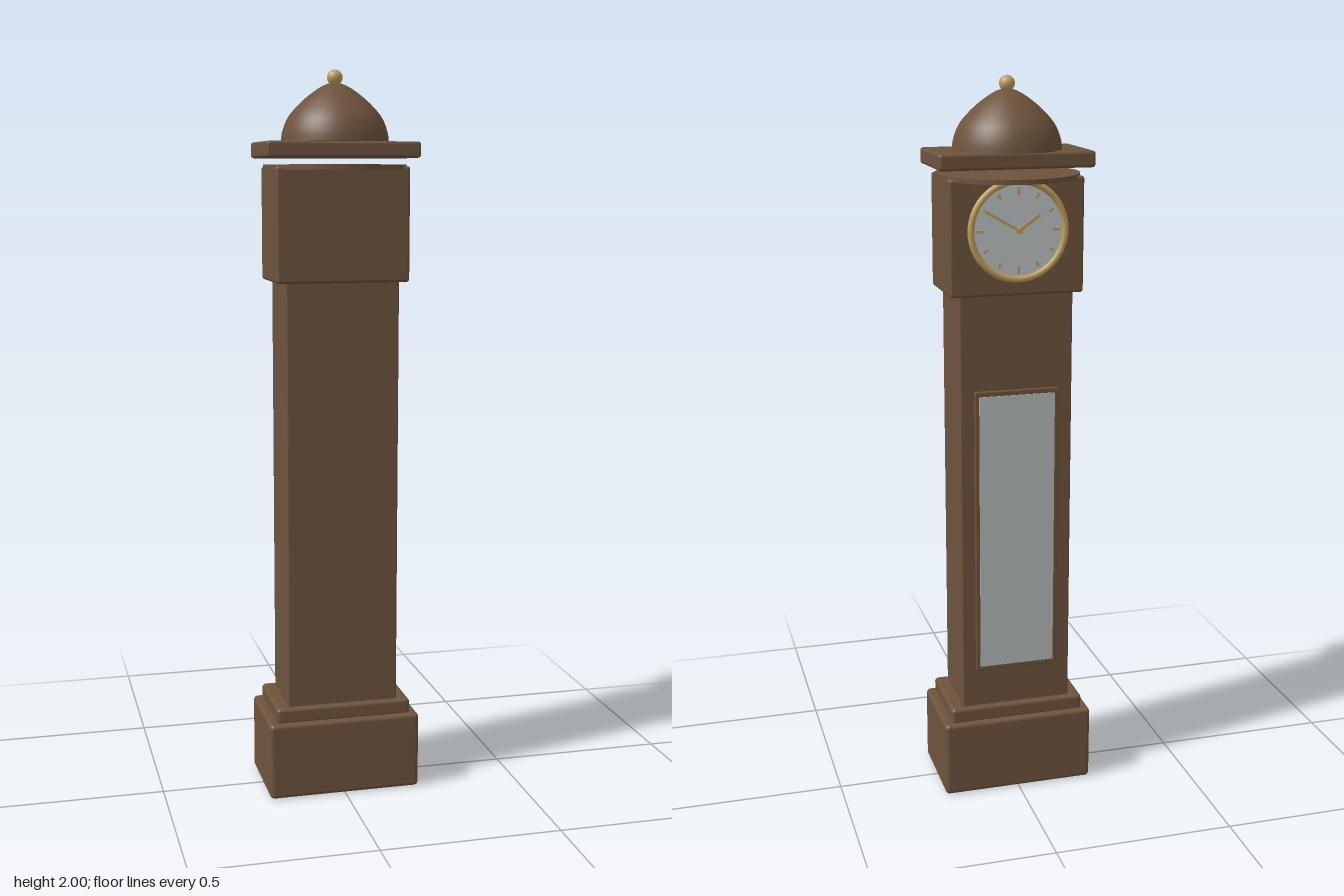
import * as THREE from 'three';
import { RoundedBoxGeometry } from 'three/addons/geometries/RoundedBoxGeometry.js';

export function createModel() {
  const model = new THREE.Group();
  model.name = 'longcaseClock';

  const material = (name, color) => {
    const m = new THREE.MeshStandardMaterial({ color });
    m.name = name;
    return m;
  };
  const wood = material('brown wood', 0x6e533c);
  const brass = material('brass', 0xbfa05c);
  const ivory = material('pale dial', 0xbec4c4);
  const glass = material('door glass', 0xb4bcb9);

  const add = (parent, name, geometry, mat, x = 0, y = 0, z = 0) => {
    const mesh = new THREE.Mesh(geometry, mat);
    mesh.name = name;
    mesh.position.set(x, y, z);
    parent.add(mesh);
    return mesh;
  };
  // Softened wooden block between two heights
  const block = (name, halfX, halfZ, y0, y1, r) =>
    add(model, name, new RoundedBoxGeometry(halfX * 2, y1 - y0, halfZ * 2, 3, r), wood, 0, (y0 + y1) / 2, 0);

  // Case
  block('base', 0.215, 0.131, 0, 0.217, 0.012);
  block('plinth', 0.192, 0.115, 0.212, 0.257, 0.01);
  block('trunk', 0.156, 0.098, 0.25, 1.45, 0.004);
  block('hood', 0.183, 0.107, 1.437, 1.745, 0.008);
  block('cornice', 0.21, 0.116, 1.767, 1.81, 0.008);

  // Round board above the hood
  add(model, 'roundBoard', new THREE.CylinderGeometry(0.194, 0.194, 0.013, 64), wood, 0, 1.743, 0);

  // Dome with closed underside, then finial
  const curve = new THREE.SplineCurve([
    [0.146, 1.81], [0.141, 1.84], [0.124, 1.878], [0.086, 1.919], [0.045, 1.95], [0.018, 1.963], [0, 1.966],
  ].map(([x, y]) => new THREE.Vector2(x, y)));
  const profile = curve.getPoints(24);
  profile[profile.length - 1].x = 0;
  add(model, 'dome', new THREE.LatheGeometry(profile, 64), wood);
  add(model, 'domeUnderside', new THREE.CircleGeometry(0.146, 64).rotateX(Math.PI / 2), wood, 0, 1.81, 0);
  add(model, 'finial', new THREE.SphereGeometry(0.021, 24, 16), brass, 0, 1.979, 0);

  // Dial side faces -z; inside this group +z points outwards
  const face = new THREE.Group();
  face.name = 'dialSide';
  face.rotation.y = Math.PI;
  model.add(face);

  // Trunk door
  add(face, 'doorFrame', new RoundedBoxGeometry(0.236, 0.815, 0.016, 2, 0.004), wood, 0, 0.772, 0.097);
  add(face, 'doorGlass', new THREE.BoxGeometry(0.212, 0.787, 0.006), glass, 0, 0.772, 0.104);

  // Dial
  const dial = new THREE.Group();
  dial.name = 'dial';
  dial.position.set(0, 1.61, 0.107);
  face.add(dial);
  add(dial, 'dialPlate', new THREE.CylinderGeometry(0.128, 0.128, 0.008, 64).rotateX(Math.PI / 2), ivory, 0, 0, 0.004);
  add(dial, 'dialRim', new THREE.TorusGeometry(0.128, 0.009, 12, 64), brass, 0, 0, 0.007);
  for (let i = 0; i < 12; i++) {
    const a = (i * Math.PI) / 6;
    const h = i % 3 ? 0.014 : 0.02;
    const mark = add(dial, 'hourMark', new THREE.BoxGeometry(0.007, h, 0.004), brass,
      Math.sin(a) * 0.103, Math.cos(a) * 0.103, 0.009);
    mark.rotation.z = -a;
  }

  // Hands turn about the dial centre, angle clockwise from twelve
  const hand = (name, length, width, angle, z) => {
    const g = new THREE.BoxGeometry(width, length, 0.004).translate(0, length / 2 - 0.008, 0);
    add(dial, name, g, brass, 0, 0, z).rotation.z = -angle;
  };
  hand('hourHand', 0.078, 0.009, THREE.MathUtils.degToRad(55), 0.013);
  hand('minuteHand', 0.115, 0.007, THREE.MathUtils.degToRad(-60), 0.017);
  add(dial, 'handHub', new THREE.CylinderGeometry(0.008, 0.008, 0.014, 20).rotateX(Math.PI / 2), brass, 0, 0, 0.015);

  return model;
}
